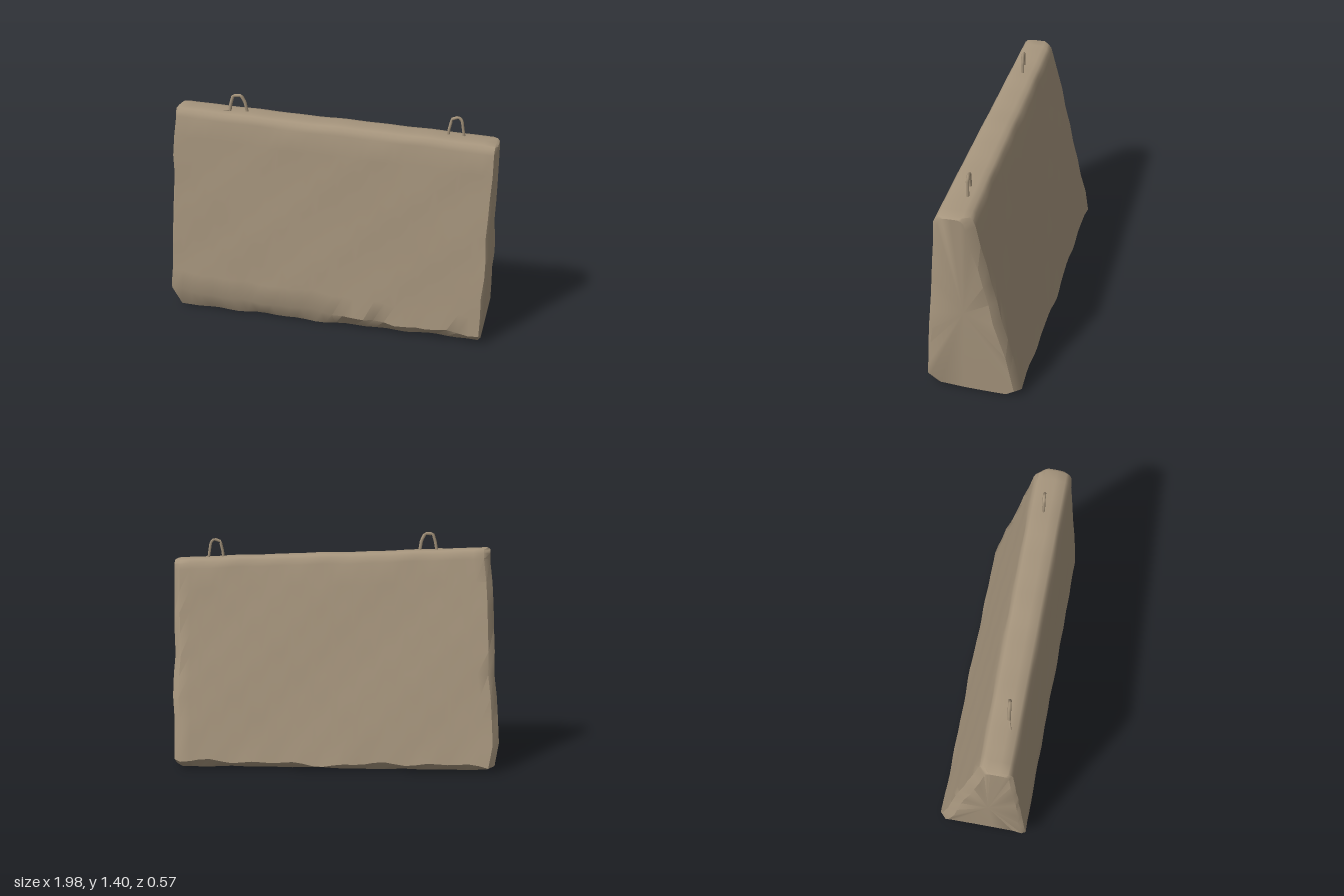
import * as THREE from 'three';
import { toCreasedNormals } from 'three/addons/utils/BufferGeometryUtils.js';

const lerp = THREE.MathUtils.lerp;
// Smooth, repeatable unevenness for the worn surface, about -1 to 1
const wave = (a, b) => (Math.sin(a * 5.3 + b * 2.1) + Math.sin(a * 11.7 - b * 4.3 + 1) + Math.sin(a * 23 + b * 7.9 + 2)) / 3;

// Sloping faces of the barrier
const frontZ = y => 0.277 - 0.08 * (y - 0.1);
const backZ = y => -0.272 + 0.22 * (y - 0.1);

// Closed cross-section at x: up the front, over the top, down the back, along the base
function section(x) {
  const top = 1.284 - 0.036 * x + 0.004 * wave(x, 3);
  const chip = lerp(0.145, 0.065, (x + 1) / 2) + 0.018 * wave(x * 1.3, 1);
  const backChip = 0.05 + 0.02 * wave(x, 8);
  const pts = [];
  const steps = 9;
  for (let k = 0; k <= steps; k++) {
    const y = lerp(chip, top - 0.05, k / steps);
    pts.push([frontZ(y) + 0.004 * wave(x, y * 3), y]);
  }
  const zf = frontZ(top), zb = backZ(top);
  pts.push([zf - 0.006, top - 0.022], [zf - 0.024, top - 0.004], [lerp(zf, zb, 0.4), top]);
  pts.push([lerp(zf, zb, 0.75), top], [zb + 0.016, top - 0.006], [zb - 0.002, top - 0.024]);
  for (let k = 0; k <= steps; k++) {
    const y = lerp(top - 0.06, backChip, k / steps);
    pts.push([backZ(y) + 0.006 * wave(x, y * 3 + 5), y]);
  }
  pts.push([-0.235, 0.012 + 0.006 * wave(x, 6)], [-0.1, 0.006], [0.08, 0.006]);
  pts.push([0.215 + 0.012 * wave(x, 4), 0.012 + 0.006 * wave(x, 2)]);
  return pts;
}

// Uneven end faces: x of the left and right ends at height y
function endX(side, y) {
  const rough = 0.009 * wave(y * 1.6, side * 2);
  if (side < 0) return (y < 0.12 ? lerp(-0.955, -0.99, y / 0.12) : lerp(-0.99, -0.935, (y - 0.12) / 1.2)) + rough;
  return lerp(0.968, 0.986, Math.min(1, y / 1.1)) + rough;
}

function barrierGeometry() {
  const stations = 30, rings = [];
  const bevel = (side, p) => {
    // Chipped rim: the rear corner is cut more than the front one
    const inset = (p[0] < 0.02 ? 0.04 : 0.022) + 0.01 * wave(p[1] * 2, side);
    const mid = (frontZ(p[1]) + backZ(p[1])) / 2;
    const z = p[0] - Math.sign(p[0] - mid) * Math.min(inset, Math.abs(p[0] - mid) * 0.5);
    return new THREE.Vector3(endX(side, p[1]), lerp(p[1], 0.65, 0.012), z);
  };
  rings.push(section(-0.96).map(p => bevel(-1, p)));
  for (let i = 0; i <= stations; i++) {
    const u = i / stations, x = lerp(-0.96, 0.96, u);
    rings.push(section(x).map(([z, y]) => {
      const cut = z < 0.02 ? 0.04 : 0.014;
      return new THREE.Vector3(lerp(endX(-1, y) + cut, endX(1, y) - cut, u), y, z);
    }));
  }
  rings.push(section(0.96).map(p => bevel(1, p)));

  const n = rings[0].length, pos = [], index = [];
  rings.forEach(r => r.forEach(v => pos.push(v.x, v.y, v.z)));
  for (let i = 0; i < rings.length - 1; i++) {
    for (let j = 0; j < n; j++) {
      const a = i * n + j, d = i * n + (j + 1) % n;
      index.push(a, a + n, d + n, a, d + n, d);
    }
  }
  // End caps
  for (const side of [-1, 1]) {
    const first = side < 0 ? 0 : (rings.length - 1) * n;
    const centre = pos.length / 3;
    pos.push(endX(side, 0.6) + side * 0.003, 0.6, 0.04);
    for (let j = 0; j < n; j++) {
      const a = first + j, b = first + (j + 1) % n;
      if (side < 0) index.push(centre, a, b);
      else index.push(centre, b, a);
    }
  }
  const g = new THREE.BufferGeometry();
  g.setAttribute('position', new THREE.Float32BufferAttribute(pos, 3));
  g.setIndex(index);
  return toCreasedNormals(g, 0.75);
}

// Bent bar through a few points
function bar(points, radius, material) {
  const path = new THREE.CurvePath();
  const v = points.map(p => new THREE.Vector3(...p));
  for (let i = 1; i < v.length; i++) path.add(new THREE.LineCurve3(v[i - 1], v[i]));
  return new THREE.Mesh(new THREE.TubeGeometry(path, 20, radius, 6), material);
}

export function createModel() {
  const group = new THREE.Group();
  const concrete = new THREE.MeshStandardMaterial({ color: 0xa6957d });
  concrete.name = 'concrete';

  const barrier = new THREE.Mesh(barrierGeometry(), concrete);
  barrier.name = 'barrierBlock';
  group.add(barrier);

  // Lifting loops on the top
  const leftLoop = bar([[0.692, 1.23, 0.068], [0.698, 1.29, 0.067], [0.712, 1.352, 0.065], [0.75, 1.366, 0.061],
    [0.77, 1.345, 0.06], [0.788, 1.23, 0.056]], 0.009, concrete);
  leftLoop.name = 'leftLiftingLoop';
  const rightLoop = bar([[-0.615, 1.28, 0.104], [-0.603, 1.35, 0.102], [-0.588, 1.4, 0.1], [-0.54, 1.402, 0.094],
    [-0.518, 1.36, 0.09], [-0.505, 1.28, 0.086]], 0.01, concrete);
  rightLoop.name = 'rightLiftingLoop';
  // Exposed bar stub beside the right loop
  const stub = bar([[-0.67, 1.303, 0.122], [-0.61, 1.308, 0.104]], 0.006, concrete);
  stub.name = 'exposedBar';
  group.add(leftLoop, rightLoop, stub);
  return group;
}
